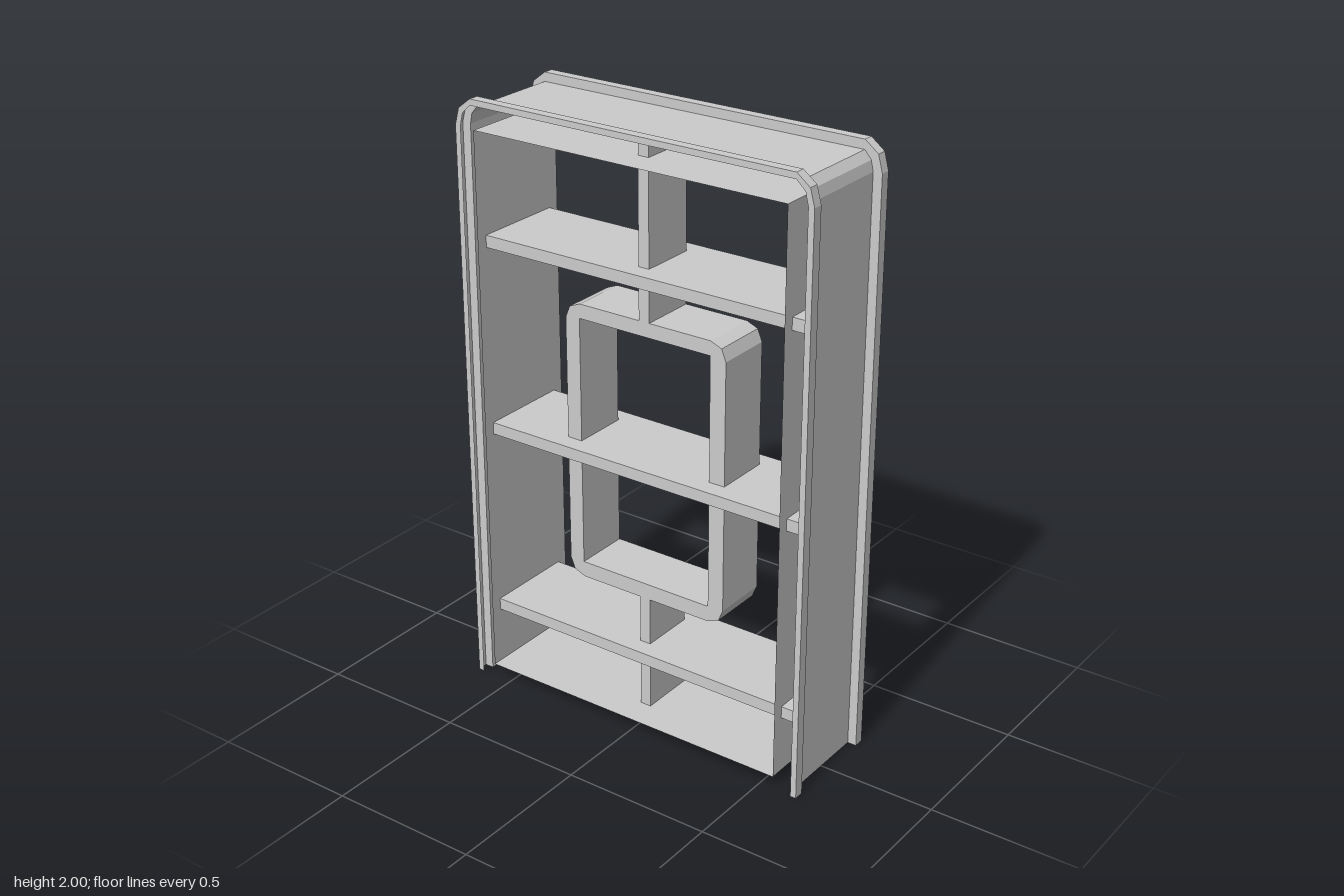
import * as THREE from 'three';

const mat = new THREE.MeshStandardMaterial({ color: 0xcccccc, flatShading: true, side: THREE.DoubleSide });

function add(group, name, geometry, x = 0, y = 0, z = 0) {
  const mesh = new THREE.Mesh(geometry, mat);
  mesh.name = name;
  mesh.position.set(x, y, z);
  group.add(mesh);
  return mesh;
}

// box given by its limits on each axis
function addBox(group, name, [x0, x1], [y0, y1], [z0, z1]) {
  add(group, name, new THREE.BoxGeometry(x1 - x0, y1 - y0, z1 - z0), (x0 + x1) / 2, (y0 + y1) / 2, (z0 + z1) / 2);
}

// arch outline (left foot, over the top, right foot), moved inwards by d
function arch(d) {
  const right = [
    [0.575, 2 - d],
    [0.62 - 0.75 * d, 1.965 - 0.7 * d],
    [0.635 - d, 1.91],
    [0.635 - d, 0],
  ];
  const left = right.map(([x, y]) => [-x, y]).reverse();
  return [...left, ...right];
}

// surface joining a series of rows of points
function loft(rows, closed = false) {
  const pos = [], index = [], n = rows[0].length;
  rows.forEach(row => row.forEach(p => pos.push(...p)));
  for (let r = 0; r < rows.length - 1; r++) {
    for (let i = 0; i < (closed ? n : n - 1); i++) {
      const a = r * n + i, b = r * n + (i + 1) % n;
      index.push(a, b, a + n, b, b + n, a + n);
    }
  }
  const g = new THREE.BufferGeometry();
  g.setAttribute('position', new THREE.Float32BufferAttribute(pos, 3));
  g.setIndex(index);
  const flat = g.toNonIndexed();
  flat.computeVertexNormals();
  return flat;
}

function rectPoints(x0, x1, y0, y1) {
  return [[x0, y0], [x1, y0], [x1, y1], [x0, y1]];
}

const toShape = pts => new THREE.Shape(pts.map(p => new THREE.Vector2(...p)));
const toPath = pts => new THREE.Path(pts.map(p => new THREE.Vector2(...p)));

export function createModel() {
  const model = new THREE.Group();
  model.name = 'shelfUnit';
  const Z = 0.194, STEP = 0.16;

  // outer shell with a raised rim front and back, open at the bottom
  const profile = [[0, -Z], [0, -STEP], [0.03, -STEP], [0.03, STEP], [0, STEP], [0, Z], [0.02, Z]];
  add(model, 'outerShell', loft(profile.map(([d, z]) => arch(d).map(([x, y]) => [x, y, z]))));

  // inner lining of the cabinet
  const opening = rectPoints(-0.565, 0.55, 0.045, 1.905);
  add(model, 'innerLining', loft([Z, -Z].map(z => opening.map(([x, y]) => [x, y, z])), true));

  // back face between shell and lining
  const back = toShape(arch(0));
  back.holes.push(toPath(opening));
  add(model, 'backFrame', new THREE.ShapeGeometry(back).rotateY(Math.PI).scale(-1, 1, 1), 0, 0, -Z);

  // shelves
  for (const y of [0.24, 0.887, 1.522]) {
    addBox(model, 'shelf', [-0.595, 0.595], [y, y + 0.04], [-0.155, 0.155]);
  }

  // upright dividers above and below the centre box
  addBox(model, 'lowerDivider', [-0.028, 0.01], [0.042, 0.46], [-0.095, 0.095]);
  addBox(model, 'upperDivider', [-0.028, 0.01], [1.37, 1.96], [-0.095, 0.095]);

  // centre box: cut outer corners, square opening
  const x0 = -0.307, x1 = 0.288, y0 = 0.442, y1 = 1.39, c = 0.055, k = 0.016;
  const outline = [];
  for (const [x, y, sx, sy] of [[x0, y0, 1, 1], [x1, y0, -1, 1], [x1, y1, -1, -1], [x0, y1, 1, -1]]) {
    const corner = [[x, y + sy * c], [x + sx * k, y + sy * k], [x + sx * c, y]];
    outline.push(...(sx * sy > 0 ? corner : corner.reverse()));
  }
  const ring = toShape(outline);
  ring.holes.push(toPath(rectPoints(-0.254, 0.232, 0.495, 1.342)));
  add(model, 'centreBox', new THREE.ExtrudeGeometry(ring, { depth: 0.19, bevelEnabled: false }), 0, 0, -0.095);

  return model;
}
